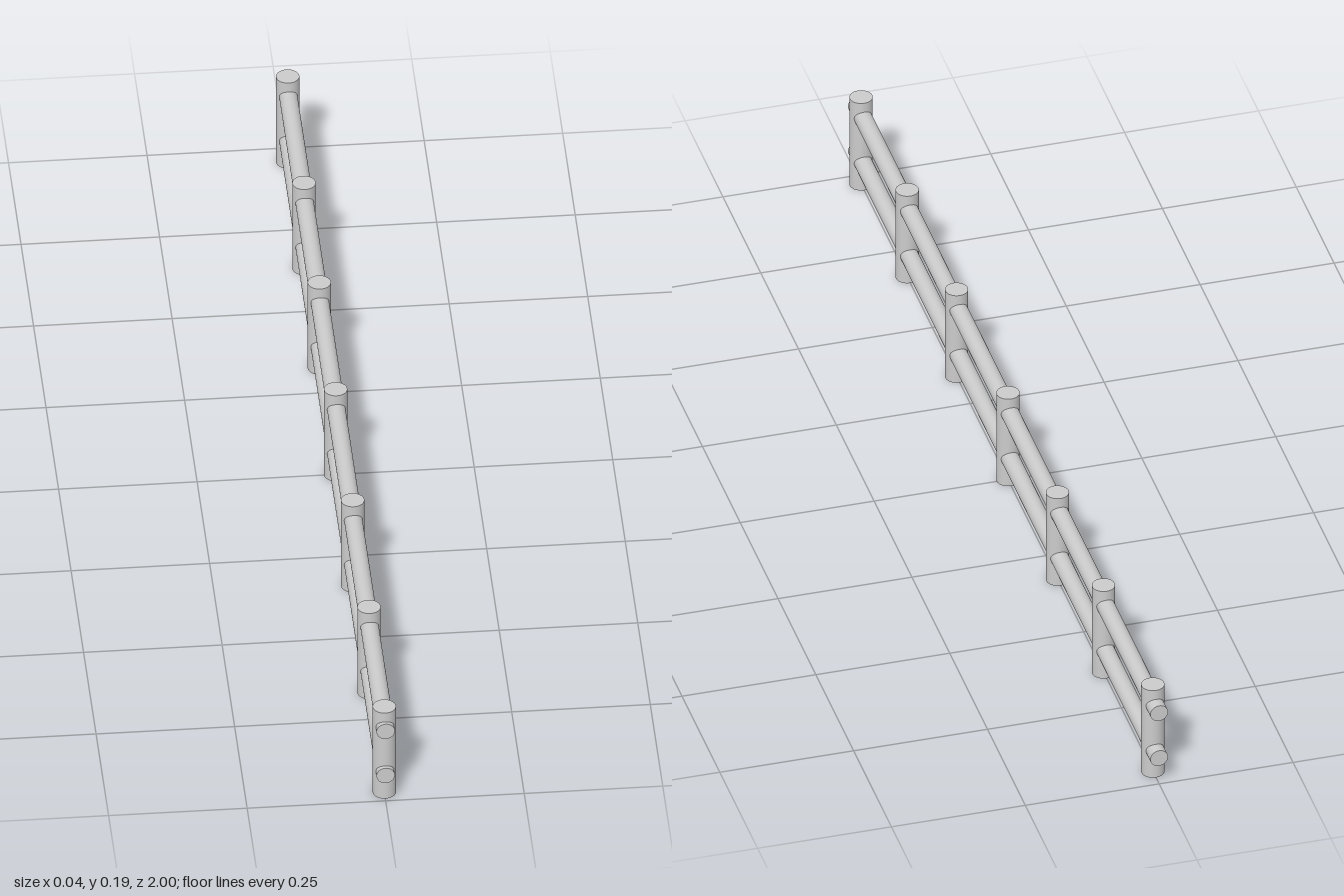
import * as THREE from 'three';

const POST_RADIUS = 0.021, POST_HEIGHT = 0.19;
const RAIL_RADIUS = 0.0165, RAIL_LENGTH = 2;
const POST_Z = [0.972, 0.667, 0.34, 0, -0.327, -0.632, -0.958];
const RAIL_Y = { lowerRail: 0.056, upperRail: 0.154 };

export function createModel() {
  const fence = new THREE.Group();
  fence.name = 'fence';
  const material = new THREE.MeshStandardMaterial({ color: 0xcccccc });

  // Upright round posts, slightly unevenly spaced
  const postGeometry = new THREE.CylinderGeometry(POST_RADIUS, POST_RADIUS, POST_HEIGHT, 32);
  POST_Z.forEach((z, i) => {
    const post = new THREE.Mesh(postGeometry, material);
    post.name = `post${i + 1}`;
    post.position.set(0, POST_HEIGHT / 2, z);
    fence.add(post);
  });

  // Two long round rails passing through every post
  const railGeometry = new THREE.CylinderGeometry(RAIL_RADIUS, RAIL_RADIUS, RAIL_LENGTH, 32);
  railGeometry.rotateX(Math.PI / 2);
  for (const [name, y] of Object.entries(RAIL_Y)) {
    const rail = new THREE.Mesh(railGeometry, material);
    rail.name = name;
    rail.position.y = y;
    fence.add(rail);
  }

  return fence;
}
